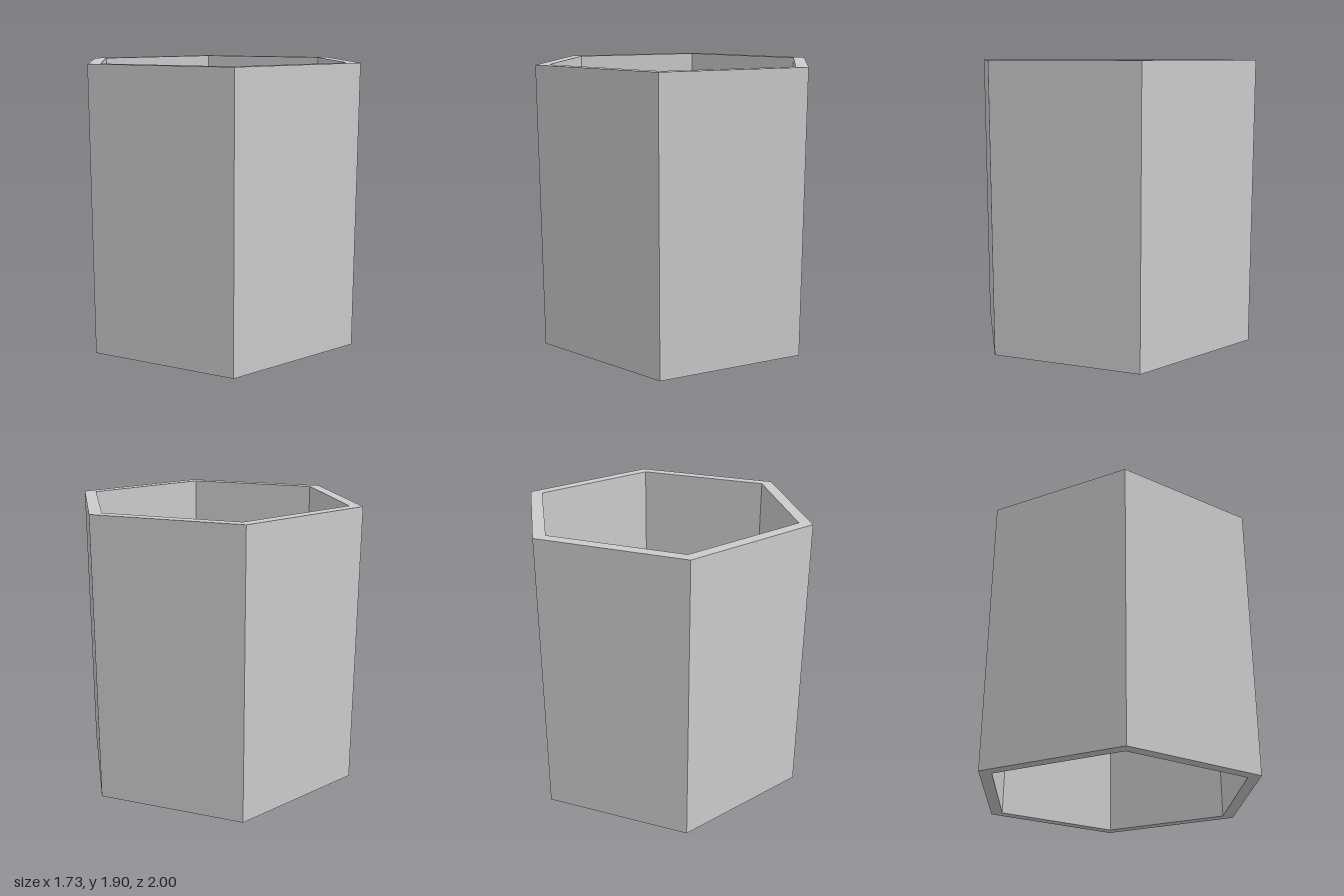
import * as THREE from 'three';

const OUTER = 1, INNER = 0.909, HEIGHT = 1.905;

// Corners of a hexagon with points on the front and back
function hexagon(radius) {
  return Array.from({ length: 6 }, (_, i) => {
    const a = Math.PI / 2 + (i * Math.PI) / 3;
    return new THREE.Vector2(radius * Math.cos(a), radius * Math.sin(a));
  });
}

export function createModel() {
  const group = new THREE.Group();
  group.name = 'hexagonalTube';

  // Hexagonal wall, open at both ends
  const outline = new THREE.Shape(hexagon(OUTER));
  outline.holes.push(new THREE.Path(hexagon(INNER)));
  const geometry = new THREE.ExtrudeGeometry(outline, { depth: HEIGHT, bevelEnabled: false });
  geometry.rotateX(-Math.PI / 2);

  const wall = new THREE.Mesh(
    geometry,
    new THREE.MeshStandardMaterial({ color: 0xcccccc, flatShading: true })
  );
  wall.name = 'hexagonalWall';
  group.add(wall);
  return group;
}
